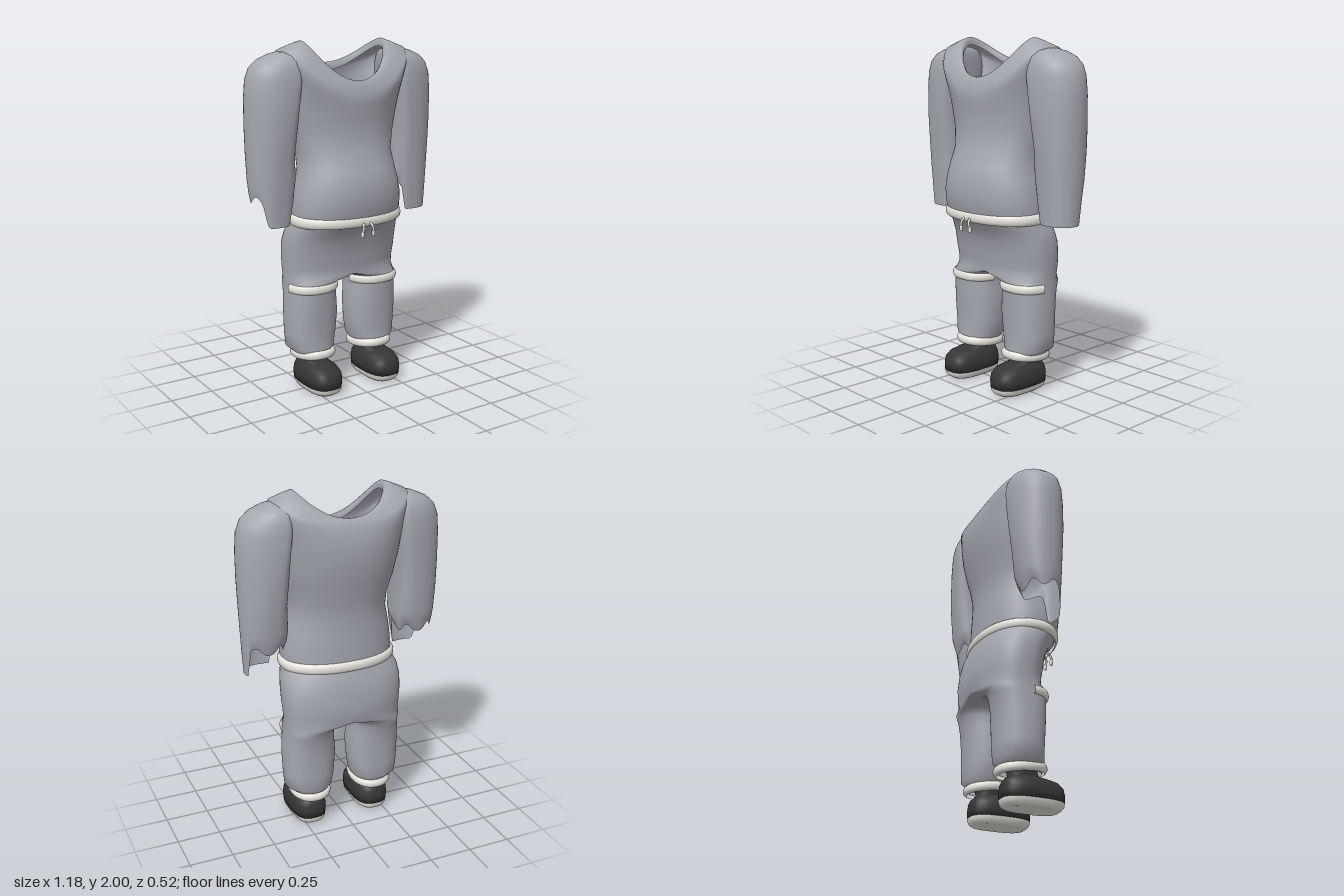
import * as THREE from 'three';
import { mergeGeometries, mergeVertices } from 'three/addons/utils/BufferGeometryUtils.js';

const N = 48;
const FULL = Math.PI * 2;
const mat = (name, color) => {
  const m = new THREE.MeshStandardMaterial({ color, side: THREE.DoubleSide });
  m.name = name;
  return m;
};

// Point on a rounded cross-section [y, x0, x1, zBack, zFront, exponent, dipFront, dipBack]
function ringPoint([y, x0, x1, zb, zf, e = 2, dipF = 0, dipB = 0], a) {
  const c = Math.cos(a), s = Math.sin(a);
  const pw = v => Math.sign(v) * Math.pow(Math.abs(v), 2 / e);
  const dip = (s > 0 ? dipF : dipB) * Math.pow(Math.abs(s), 1.85);
  return new THREE.Vector3(
    (x0 + x1) / 2 + (x1 - x0) / 2 * pw(c), y - dip, (zb + zf) / 2 + (zf - zb) / 2 * pw(s));
}

// Skin over rings, ordered bottom to top; a ring is a section or a function of angle
function loft(rings, from = 0, to = FULL) {
  const pos = [], idx = [], cols = to - from === FULL ? N : N + 1;
  rings.forEach((r, i) => {
    for (let j = 0; j < cols; j++) {
      const a = from + j / N * (to - from);
      const p = typeof r === 'function' ? r(a) : ringPoint(r, a);
      pos.push(p.x, p.y, p.z);
      if (i === rings.length - 1 || j === N) continue;
      const k = i * cols + j, l = i * cols + (j + 1) % cols;
      idx.push(k, k + cols, l, l, k + cols, l + cols);
    }
  });
  const g = new THREE.BufferGeometry();
  g.setAttribute('position', new THREE.Float32BufferAttribute(pos, 3));
  g.setIndex(idx);
  g.computeVertexNormals();
  return g;
}

// Padded band bulging outward from a section, optionally tilted or over an arc
function band([y, x0, x1, zb, zf, e], half, bulge, tilt = 0, from = 0, to = FULL) {
  const rings = [];
  for (let i = 0; i <= 8; i++) {
    const f = (i / 8 - 0.5) * Math.PI, t = bulge * Math.cos(f);
    rings.push(a => {
      const p = ringPoint([y + half * Math.sin(f), x0 - t, x1 + t, zb - t, zf + t, e], a);
      p.y += p.z * tilt;
      return p;
    });
  }
  return loft(rings, from, to);
}

function mirror(geo) {
  const g = geo.clone().scale(-1, 1, 1), ix = g.index.array;
  for (let i = 0; i < ix.length; i += 3) [ix[i], ix[i + 1]] = [ix[i + 1], ix[i]];
  g.computeVertexNormals();
  return g;
}

// Sleeve, round outside and squarer against the body. The torn hem hangs low
// around the angle lowAt and rises where the cosine from it falls below edge.
function sleeve(lowAt, edge) {
  const ring = (y, xi, xc, xo, zb, zf, rise = 0) => a => {
    const inner = Math.cos(a) < 0;
    const p = ringPoint([y, 2 * xc - xo, xo, zb, zf, inner ? 3 : 2.1], a);
    if (inner) p.x = xc + (p.x - xc) * (xc - xi) / (xo - xc);
    p.y += rise * THREE.MathUtils.smoothstep(-Math.cos(a - lowAt), -edge, 0.3 - edge)
      * (1 + 0.15 * Math.sin(a * 5));
    return p;
  };
  return loft([
    ring(1.00, 0.355, 0.46, 0.568, -0.135, 0.062, 0.15),
    ring(1.12, 0.335, 0.455, 0.576, -0.15, 0.07, 0.07),
    ring(1.25, 0.328, 0.45, 0.582, -0.165, 0.08),
    ring(1.40, 0.335, 0.44, 0.588, -0.18, 0.092),
    ring(1.55, 0.325, 0.415, 0.592, -0.192, 0.108),
    ring(1.70, 0.315, 0.385, 0.592, -0.198, 0.116),
    ring(1.80, 0.305, 0.37, 0.584, -0.197, 0.116),
    ring(1.86, 0.30, 0.37, 0.56, -0.187, 0.106),
    ring(1.90, 0.30, 0.37, 0.515, -0.17, 0.09),
    ring(1.928, 0.305, 0.365, 0.45, -0.14, 0.06),
    ring(1.942, 0.32, 0.36, 0.40, -0.09, 0.01),
    ring(1.945, 0.359, 0.36, 0.361, -0.04, -0.039),
  ]);
}

export function createModel() {
  const model = new THREE.Group();
  model.name = 'outfit';
  const cloth = mat('grey cloth', 0xa5a7b0);
  const trim = mat('cream trim', 0xeceae1);
  const leather = mat('dark shoe', 0x363636);
  const add = (name, geo, material) => {
    const m = new THREE.Mesh(geo, material);
    m.name = name;
    model.add(m);
  };
  const pair = (name, geo, material) => {
    add('left' + name, geo, material);
    add('right' + name, mirror(geo), material);
  };

  // Shirt body with a scooped, faced neckline
  const sym = (y, rx, ...rest) => [y, -rx, rx, ...rest];
  add('shirtBody', loft([
    sym(1.00, 0.325, -0.20, 0.22, 2.2),
    sym(1.06, 0.33, -0.20, 0.24, 2.2),
    sym(1.14, 0.325, -0.20, 0.253, 2.2),
    sym(1.22, 0.31, -0.198, 0.248, 2.2),
    sym(1.30, 0.29, -0.198, 0.23, 2.2),
    sym(1.39, 0.288, -0.21, 0.19, 2.2),
    sym(1.50, 0.315, -0.235, 0.176, 2.2),
    sym(1.60, 0.335, -0.255, 0.185, 2.2),
    sym(1.71, 0.352, -0.262, 0.193, 2.3, 0.05, 0.01),
    sym(1.83, 0.372, -0.252, 0.193, 2.6, 0.13, 0.05),
    sym(1.915, 0.385, -0.238, 0.185, 3, 0.18, 0.09),
    sym(1.955, 0.383, -0.230, 0.178, 2.9, 0.20, 0.115),
    sym(1.985, 0.31, -0.218, 0.17, 2.4, 0.205, 0.125),
    sym(2.00, 0.265, -0.207, 0.158, 2.1, 0.215, 0.138),
    sym(1.985, 0.248, -0.197, 0.146, 2.1, 0.215, 0.138),
    sym(1.955, 0.25, -0.197, 0.148, 2.1, 0.215, 0.138),
  ]), cloth);

  // Sleeves, each torn differently
  add('leftSleeve', sleeve(0.85, 0.35), cloth);
  add('rightSleeve', mirror(sleeve(1.65, 0.88)), cloth);

  // Trousers: hips and two legs joined along a saddle at the crotch
  const crotch = sym(0.68, 0.35, -0.245, 0.102, 2.4);
  const leg = loft([
    [0.19, 0.10, 0.29, -0.155, 0.08, 2.2],
    [0.215, 0.092, 0.305, -0.163, 0.088, 2.2],
    [0.25, 0.07, 0.346, -0.183, 0.08, 2.3],
    [0.33, 0.056, 0.354, -0.186, 0.08, 2.3],
    [0.45, 0.047, 0.358, -0.188, 0.088, 2.3],
    [0.54, 0.055, 0.354, -0.197, 0.094, 2.3],
    [0.60, 0.06, 0.35, -0.21, 0.097, 2.3],
    [0.64, 0.052, 0.349, -0.225, 0.10, 2.3],
    a => {
      const p = ringPoint(crotch, a), c = Math.cos(a);
      return c > -1e-9 ? p : new THREE.Vector3(0, p.y + 0.015 * c, p.z);
    },
  ]);
  const hips = loft([
    crotch,
    sym(0.73, 0.353, -0.252, 0.106, 2.4),
    sym(0.79, 0.358, -0.254, 0.118, 2.4),
    sym(0.87, 0.36, -0.245, 0.13, 2.4),
    sym(0.94, 0.352, -0.232, 0.165, 2.3),
    sym(1.00, 0.33, -0.208, 0.215, 2.2),
  ]);
  const trousers = mergeGeometries([hips, leg, mirror(leg)]);
  trousers.deleteAttribute('normal');
  const welded = mergeVertices(trousers, 1e-4);
  welded.computeVertexNormals();
  add('trousers', welded, cloth);

  // Waistband, half knee bands and ankle cuffs
  add('waistband', band(sym(1.012, 0.328, -0.204, 0.222, 2.2), 0.031, 0.018), trim);
  pair('KneeBand', band([0.615, 0.06, 0.35, -0.21, 0.098, 2.3], 0.025, 0.013, 0, 0.15, Math.PI - 0.15), trim);
  pair('AnkleCuff', band([0.21, 0.092, 0.30, -0.162, 0.09, 2.2], 0.026, 0.019, 0.1), trim);

  // Drawstring ends
  const string = new THREE.CatmullRomCurve3([
    new THREE.Vector3(0.022, 1.005, 0.235),
    new THREE.Vector3(0.03, 0.985, 0.25),
    new THREE.Vector3(0.036, 0.945, 0.247),
  ]);
  pair('Drawstring', new THREE.TubeGeometry(string, 10, 0.007, 8), trim);
  pair('DrawstringTip', new THREE.CapsuleGeometry(0.01, 0.016, 4, 10).translate(0.036, 0.945, 0.247), trim);

  // Shoes: sole, closed upper with open ankle collar, and insole
  pair('Sole', loft([
    [0.002, 0.199, 0.201, 0.024, 0.026, 2.8],
    [0, 0.125, 0.277, -0.125, 0.175, 2.8],
    [0.01, 0.112, 0.29, -0.14, 0.19, 2.8],
    [0.028, 0.102, 0.301, -0.149, 0.202, 2.8],
    [0.045, 0.10, 0.304, -0.15, 0.204, 2.8],
  ]), trim);
  pair('ShoeUpper', loft([
    [0.043, 0.199, 0.201, 0.024, 0.026, 2.8],
    [0.044, 0.10, 0.304, -0.15, 0.204, 2.8],
    [0.085, 0.096, 0.308, -0.15, 0.205, 2.8],
    [0.12, 0.10, 0.304, -0.145, 0.198, 2.8],
    [0.145, 0.112, 0.292, -0.135, 0.175, 2.6],
    [0.16, 0.13, 0.275, -0.118, 0.125, 2.4],
    [0.168, 0.135, 0.27, -0.108, 0.065, 2.2],
    [0.19, 0.128, 0.278, -0.108, 0.052, 2.2],
    [0.225, 0.13, 0.276, -0.108, 0.052, 2.2],
  ]), leather);
  pair('Insole', loft([
    [0.08, 0.135, 0.275, -0.11, 0.10, 2.2],
    [0.082, 0.199, 0.201, -0.01, -0.008, 2.2],
  ]), trim);
  return model;
}
